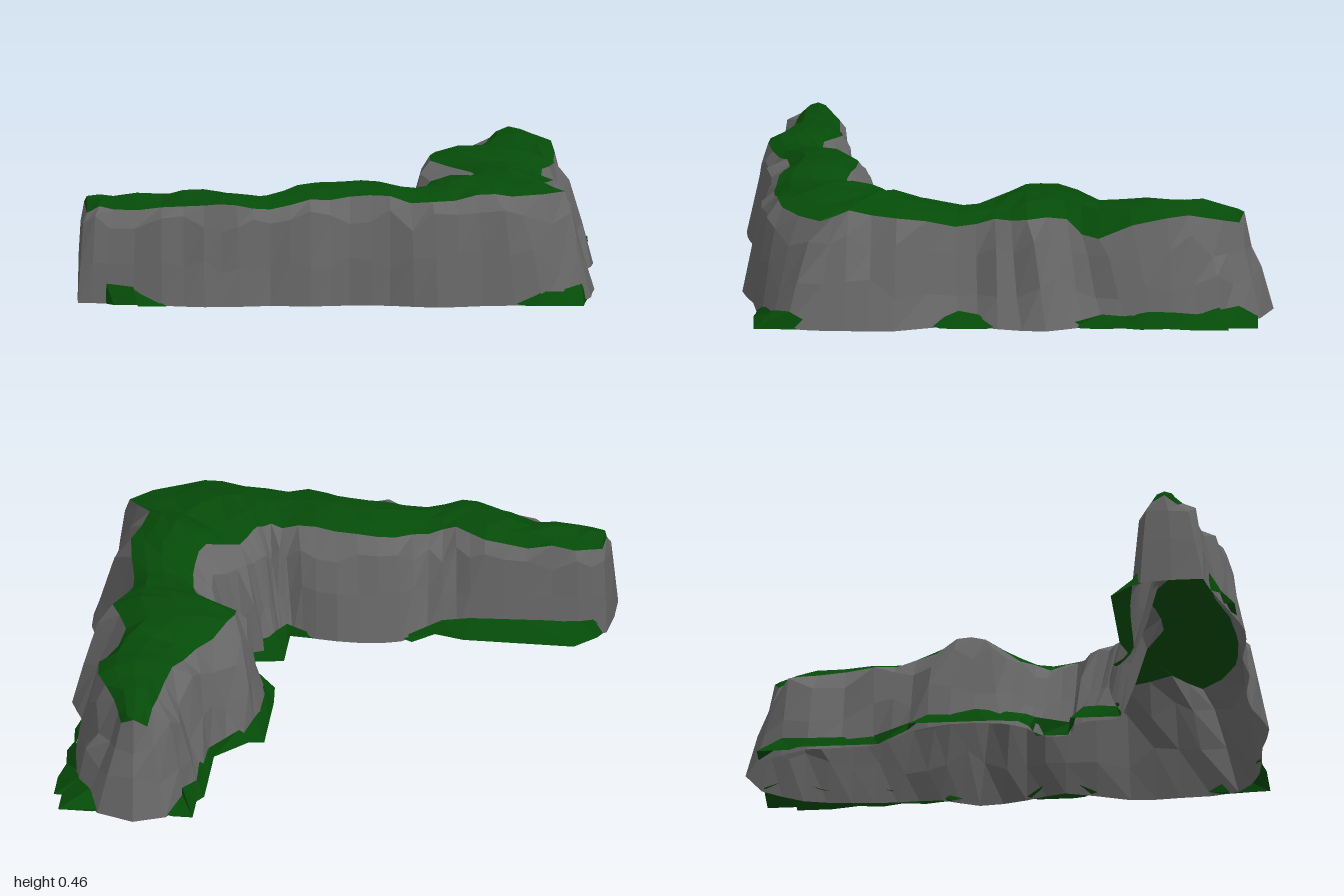
import * as THREE from 'three';

// Plan outlines as x, z pairs: matching stations run from the left tip, round the corner, to the back tip
const OUTER_BASE = [-.975,.86, -.87,.88, -.66,.94, -.5,.98, -.36,.97, -.25,.95, -.1,.965, .05,.94, .2,.95, .38,1, .55,.96, .78,.93,
  .93,.84, .965,.62, .97,.43, .89,.19, .94,.04, .975,-.14, .915,-.28, .92,-.45, .91,-.62, .88,-.8, .78,-.95];
const OUTER_RIM = [-.94,.76, -.84,.79, -.66,.81, -.5,.87, -.38,.9, -.25,.86, -.1,.83, .05,.82, .2,.86, .36,.88, .53,.87, .66,.85,
  .86,.71, .77,.6, .82,.42, .78,.2, .78,.05, .83,-.07, .76,-.22, .82,-.34, .82,-.6, .74,-.75, .7,-.87];
const INNER_RIM = [-.94,.66, -.84,.63, -.66,.63, -.5,.62, -.38,.69, -.28,.69, -.16,.59, -.02,.56, .14,.59, .27,.61, .34,.57, .37,.51,
  .41,.44, .53,.38, .56,.28, .55,.16, .51,.05, .36,-.07, .38,-.18, .48,-.34, .55,-.5, .58,-.72, .6,-.87];
const INNER_BASE = [-.96,.62, -.86,.58, -.66,.56, -.5,.555, -.4,.55, -.29,.54, -.2,.46, -.05,.43, .12,.44, .21,.46, .24,.44, .25,.39,
  .255,.33, .29,.27, .37,.25, .375,.15, .3,.09, .25,0, .24,-.2, .3,-.36, .41,-.5, .42,-.75, .52,-.95];
const CREST = [.38,.39,.39,.415,.41,.39,.42,.44,.44,.42,.44,.45,.43,.455,.43,.4,.42,.445,.45,.415,.435,.43,.39];

// Grass aprons at the foot of the walls
const APRONS = [
  [-.95,.62, -.93,.58, -.85,.5, -.64,.5, -.43,.5, -.32,.53, -.24,.46],
  [.7,.95, .75,.96, .85,.96, .93,.96, .935,.88, .945,.78],
  [-.87,.88, -.84,.92, -.75,.92, -.75,.96, -.64,.96],
  [.925,.26, .935,.22, .935,.17, .935,.12, .935,.08],
  [.92,-.24, .94,-.34, .93,-.43, .95,-.5, .94,-.6, .96,-.7, .96,-.83, .93,-.83, .93,-.94, .8,-.94],
  [.5,-.94, .42,-.94, .42,-.82, .395,-.78, .395,-.62, .395,-.48, .28,-.36, .22,-.35, .22,-.2, .22,-.05, .23,.06, .28,.1, .37,.12,
    .37,.24, .22,.26, .22,.36, .22,.45, .1,.44],
];

// Wall profiles: how far in (0 foot, 1 rim) and how high the waist and shoulder sit
const STEEP = [[0.26, 0.42], [0.54, 0.82]];
const SLOPED = [[0.36, 0.38], [0.7, 0.74]];

const SUB = 2;
let seed = 7;
const jitter = (a) => {
  seed = (seed * 16807) % 2147483647;
  return (seed / 2147483647 - 0.5) * 2 * a;
};

const toPoints = (list) => {
  const pts = [];
  for (let i = 0; i < list.length; i += 2) pts.push(new THREE.Vector3(list[i], 0, list[i + 1]));
  return pts;
};
const sample = (list) => new THREE.CatmullRomCurve3(toPoints(list)).getPoints((list.length / 2 - 1) * SUB);

function surface(name, tris, color) {
  const geometry = new THREE.BufferGeometry().setFromPoints(tris);
  geometry.computeVertexNormals();
  const material = new THREE.MeshStandardMaterial({ color, flatShading: true, side: THREE.DoubleSide });
  const mesh = new THREE.Mesh(geometry, material);
  mesh.name = name;
  return mesh;
}
const quad = (out, a, b, c, d) => out.push(a, b, c, a, c, d);

export function createModel() {
  const group = new THREE.Group();
  group.name = 'cornerCliff';
  const ROCK = 0x666666, GRASS = 0x064b09;

  const outerBase = sample(OUTER_BASE), innerBase = sample(INNER_BASE);
  const outerRim = sample(OUTER_RIM), innerRim = sample(INNER_RIM);
  const crestAt = (i) => {
    const k = Math.min(Math.floor(i / SUB), CREST.length - 2);
    return THREE.MathUtils.lerp(CREST[k], CREST[k + 1], i / SUB - k);
  };

  // Rim heights, with one notch where the grass spills down the right-hand wall
  const setRim = (p, i) => {
    const notch = 0.07 * Math.exp(-((p.x - 0.8) ** 2 + (p.z + 0.32) ** 2) / 0.012);
    p.y = crestAt(i) - 0.04 - notch + jitter(0.012);
  };
  outerRim.forEach(setRim);
  innerRim.forEach(setRim);
  const tips = {
    leftBase: new THREE.Vector3(-0.975, 0, 0.74), leftRim: new THREE.Vector3(-0.95, 0.365, 0.71),
    backBase: new THREE.Vector3(0.64, 0, -1), backRim: new THREE.Vector3(0.65, 0.38, -0.89),
  };

  // Rock wall: closed loops at foot, waist, shoulder and rim, with vertical ridges
  const foot = [...outerBase, tips.backBase, ...innerBase.reverse(), tips.leftBase];
  const rim = [...outerRim, tips.backRim, ...[...innerRim].reverse(), tips.leftRim];
  const corner = 11 * SUB, backTip = outerBase.length;
  const ridges = foot.map(() => jitter(0.12));
  const between = (level) => foot.map((p, i) => {
    const profile = i > corner && i <= backTip + 1 ? SLOPED : STEEP;
    const [t, h] = profile[level];
    const q = p.clone().lerp(rim[i], t + ridges[i]);
    q.y = rim[i].y * (h + jitter(0.1));
    return q;
  });
  const rings = [foot, between(0), between(1), rim];
  const wall = [];
  for (let r = 0; r < 3; r++) {
    foot.forEach((p, i) => {
      const n = (i + 1) % foot.length;
      quad(wall, rings[r][i], rings[r][n], rings[r + 1][n], rings[r + 1][i]);
    });
  }
  group.add(surface('rockWall', wall, ROCK));

  // Grass top: cross-sections from outer rim over the crest to inner rim
  const sections = outerRim.map((a, i) => {
    const b = innerRim[i];
    const mids = [0.22, 0.5, 0.78].map((t) => {
      const p = a.clone().lerp(b, t);
      p.y = crestAt(i) - (t === 0.5 ? 0 : 0.01) + jitter(0.008);
      return p;
    });
    return [a, ...mids, b];
  });
  const top = [];
  const last = sections.length - 1;
  for (let j = 0; j < 4; j++) {
    for (let i = 0; i < last; i++) {
      quad(top, sections[i][j], sections[i + 1][j], sections[i + 1][j + 1], sections[i][j + 1]);
    }
    top.push(tips.leftRim, sections[0][j], sections[0][j + 1]);
    top.push(sections[last][j], tips.backRim, sections[last][j + 1]);
  }
  group.add(surface('grassTop', top, GRASS));

  // Aprons slope from the ground up to the nearest piece of wall
  const apron = [];
  APRONS.forEach((list) => {
    const edge = toPoints(list);
    const upper = edge.map((p, k) => {
      let best = 0;
      foot.forEach((f, i) => { if (f.distanceTo(p) < foot[best].distanceTo(p)) best = i; });
      const q = foot[best].clone().lerp(rings[1][best], 0.3);
      const end = k === 0 || k === edge.length - 1;
      q.y = end ? 0.01 : 0.06 + jitter(0.02);
      return q;
    });
    for (let k = 0; k < edge.length - 1; k++) quad(apron, edge[k], edge[k + 1], upper[k + 1], upper[k]);
  });
  group.add(surface('grassApron', apron, GRASS));

  return group;
}
